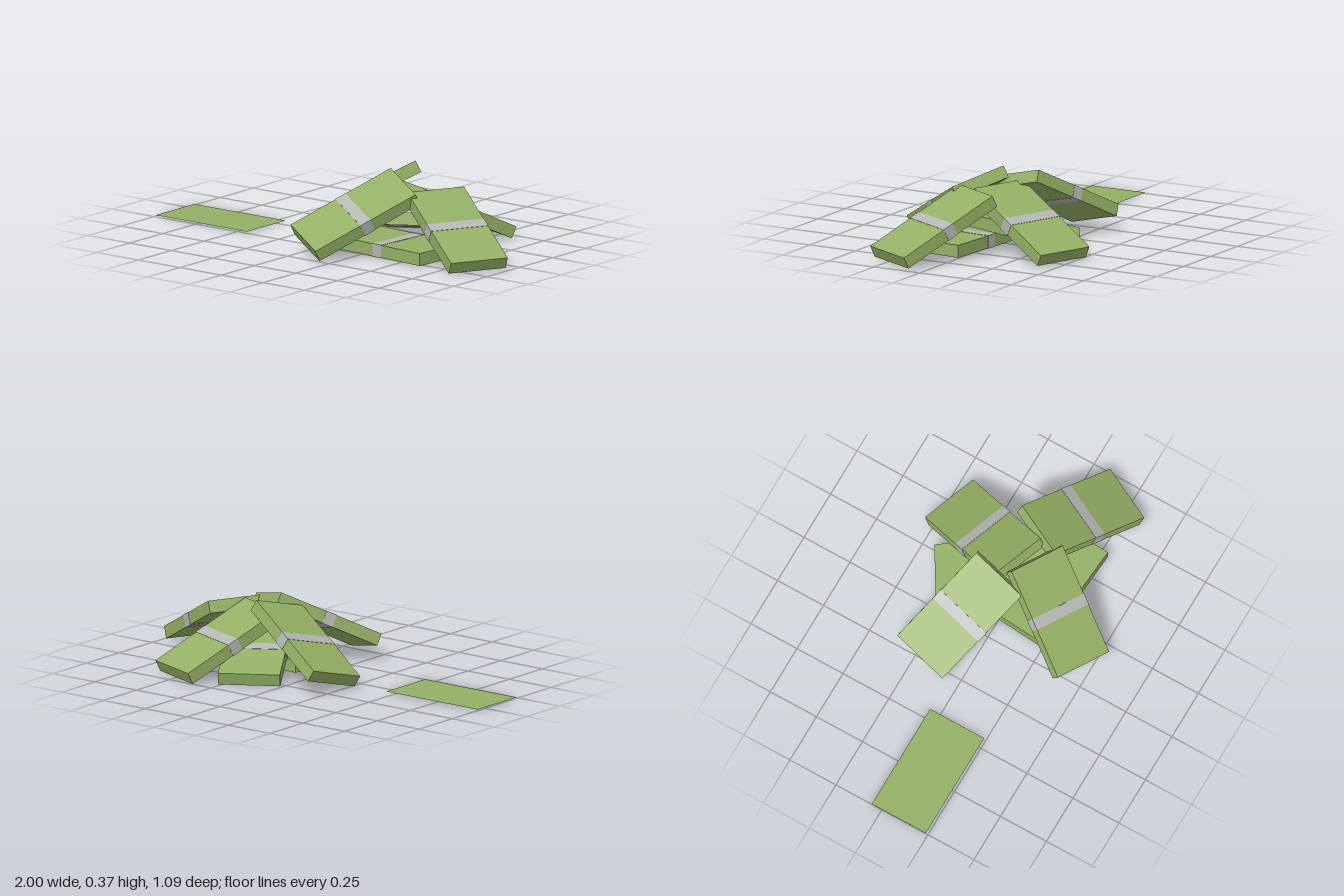
import * as THREE from 'three';

const LENGTH = 0.55, WIDTH = 0.294, THICK = 0.06, BAND = 0.055, LIP = 0.0015;

// Each wad: centre of its upper face, long direction, cross direction
const WADS = [
  { name: 'frontWad', top: [0.213, 0.21, 0.271], along: [0.277, 0.24, -0.412], across: [0.256, -0.07, 0.135] },
  { name: 'leftWad', top: [0.711, 0.178, 0.107], along: [-0.44, 0.238, -0.223], across: [-0.129, 0, 0.262] },
  { name: 'rightWad', top: [-0.042, 0.21, -0.131], along: [0.472, 0.239, 0.16], across: [0.055, 0.07, -0.28] },
  { name: 'backWad', top: [0.405, 0.178, -0.262], along: [-0.17, 0.238, 0.463], across: [0.273, 0, 0.101] },
  { name: 'tiltedLowerWad', top: [0.27, 0.123, -0.136], along: [0.277, 0.137, 0.453], across: [0.252, 0, -0.154] },
  { name: 'flatLowerWad', top: [0.366, 0.0615, 0.122], along: [0.997, 0, 0.077], across: [-0.077, 0, 0.997] },
];

export function createModel() {
  const paper = new THREE.MeshStandardMaterial({ color: 0x93b065, side: THREE.DoubleSide });
  paper.name = 'green paper';
  const strap = new THREE.MeshStandardMaterial({ color: 0xb4b7b3 });
  strap.name = 'grey strap';

  const stackGeometry = new THREE.BoxGeometry(LENGTH, THICK, WIDTH);
  const bandGeometry = new THREE.BoxGeometry(BAND, THICK + 2 * LIP, WIDTH + 2 * LIP);
  const model = new THREE.Group();
  model.name = 'paperWadPile';

  for (const { name, top, along, across } of WADS) {
    // Right-angled frame with its y axis pointing out of the upper face
    const x = new THREE.Vector3(...along).normalize();
    const y = new THREE.Vector3(...across).cross(x).normalize();
    if (y.y < 0) y.negate();
    const z = new THREE.Vector3().crossVectors(x, y);

    const wad = new THREE.Group();
    wad.name = name;
    wad.quaternion.setFromRotationMatrix(new THREE.Matrix4().makeBasis(x, y, z));
    wad.position.set(...top).addScaledVector(y, -THICK / 2);

    const stack = new THREE.Mesh(stackGeometry, paper);
    stack.name = 'paperStack';
    const band = new THREE.Mesh(bandGeometry, strap);
    band.name = 'paperBand';
    wad.add(stack, band);
    model.add(wad);
  }

  // Single loose sheet lying on the ground
  const sheet = new THREE.Mesh(new THREE.PlaneGeometry(LENGTH, WIDTH).rotateX(-Math.PI / 2), paper);
  sheet.name = 'looseSheet';
  sheet.position.set(-0.725, 0.001, 0.092);
  model.add(sheet);

  return model;
}
